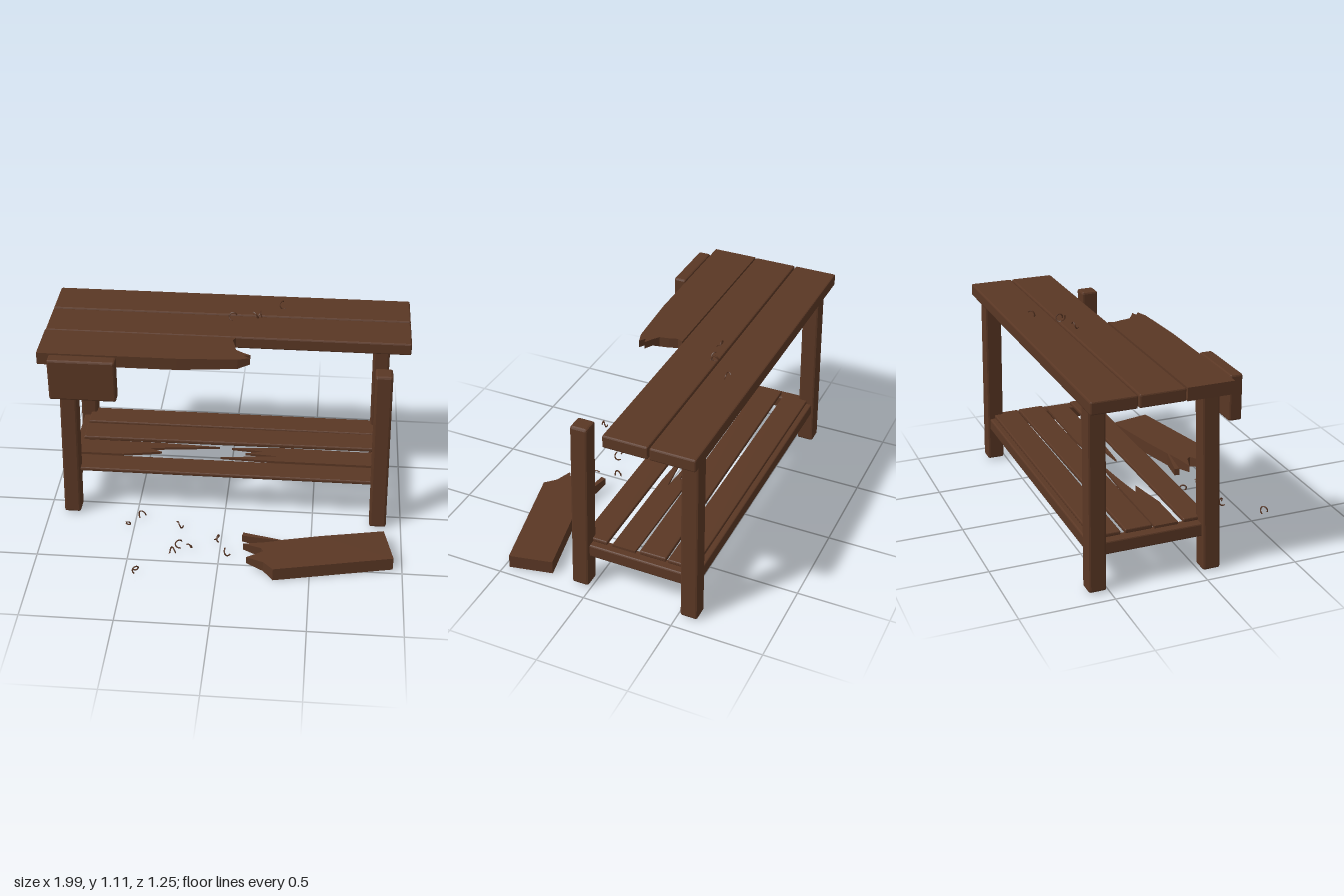
import * as THREE from 'three';
import { RoundedBoxGeometry } from 'three/addons/geometries/RoundedBoxGeometry.js';

const wood = new THREE.MeshStandardMaterial({ color: 0x5a3724 });
wood.name = 'dark brown wood';

function add(group, name, geometry) {
  const mesh = new THREE.Mesh(geometry, wood);
  mesh.name = name;
  group.add(mesh);
  return mesh;
}

// Box with chamfered edges, given by its min and max corners
function timber([x0, y0, z0], [x1, y1, z1], chamfer = 0.008) {
  let g = new RoundedBoxGeometry(x1 - x0, y1 - y0, z1 - z0, 1, chamfer);
  if (g.index) g = g.toNonIndexed();
  g.translate((x0 + x1) / 2, (y0 + y1) / 2, (z0 + z1) / 2);
  g.computeVertexNormals();
  return g;
}

// Board cut to an [x, z] outline; lift(x, z) raises the underside of the splinters
function brokenBoard(outline, y0, y1, lift = () => 0) {
  const shape = new THREE.Shape(outline.map(([x, z]) => new THREE.Vector2(x, -z)));
  const g = new THREE.ExtrudeGeometry(shape, { depth: y1 - y0, bevelEnabled: false });
  g.rotateX(-Math.PI / 2).translate(0, y0, 0);
  const p = g.attributes.position;
  for (let i = 0; i < p.count; i++) {
    if (p.getY(i) < (y0 + y1) / 2) p.setY(i, y0 + lift(p.getX(i), p.getZ(i)));
  }
  g.computeVertexNormals();
  return g;
}

// One loose turn of a thin wood curl
function curl(turns) {
  const points = [];
  for (let i = 0; i <= 14; i++) {
    const t = i / 14, a = t * turns * Math.PI * 2 - 2.2;
    points.push(new THREE.Vector3(Math.cos(a) * 0.018, Math.sin(a) * 0.018, (t - 0.5) * 0.035));
  }
  return new THREE.TubeGeometry(new THREE.CatmullRomCurve3(points), 20, 0.004, 5);
}

export function createModel() {
  const model = new THREE.Group();
  model.name = 'brokenWorkbench';

  // Table top: two whole planks and a snapped front plank
  add(model, 'backPlank', timber([-1, 0.997, -0.62], [0.992, 1.066, -0.38]));
  add(model, 'middlePlank', timber([-1, 0.997, -0.373], [0.992, 1.066, -0.132]));
  add(model, 'snappedPlank', brokenBoard([
    [-1, -0.127], [-0.25, -0.127], [0.045, -0.127], [0.03, -0.095], [0.045, -0.05],
    [0.055, 0], [0.09, 0.025], [0.135, 0.05], [0.1, 0.06], [0.135, 0.082],
    [0.07, 0.102], [-0.25, 0.12], [-1, 0.122],
  ], 0.997, 1.066, (x) => x > 0.08 ? 0.03 : x > 0 ? 0.012 : 0));

  // Vise jaw on the front edge
  add(model, 'viseJaw', timber([-0.932, 0.824, 0.128], [-0.57, 1.066, 0.198], 0.01));

  // Splayed legs
  for (const sx of [-1, 1]) {
    for (const front of [true, false]) {
      const g = timber([-0.047, 0.008, -0.048], [0.047, 0.992, 0.048], 0.012);
      const p = g.attributes.position;
      for (let i = 0; i < p.count; i++) {
        const down = 1 - p.getY(i);
        p.setX(i, p.getX(i) + sx * (0.846 + 0.024 * down));
        p.setZ(i, p.getZ(i) + (front ? 0.049 + 0.013 * down : -0.547 - 0.014 * down));
      }
      g.computeVertexNormals();
      add(model, (front ? 'front' : 'back') + (sx > 0 ? 'Left' : 'Right') + 'Leg', g);
    }
    // Side rail between the legs
    const x = sx * 0.857;
    add(model, 'sideRail', timber([x - 0.035, 0.195, -0.53], [x + 0.035, 0.267, 0.03]));
  }
  add(model, 'backRail', timber([-0.84, 0.198, -0.59], [0.84, 0.268, -0.52]));

  // Lower shelf
  add(model, 'frontShelfBoard', timber([-0.85, 0.268, -0.072], [0.855, 0.29, 0.066], 0.006));
  const tilted = add(model, 'middleShelfBoard', timber([-0.85, -0.012, -0.074], [0.85, 0.012, 0.074], 0.006));
  tilted.position.set(0, 0.281, -0.322);
  tilted.rotation.y = 0.008;
  add(model, 'backShelfBoard', timber([-0.85, 0.268, -0.56], [0.85, 0.29, -0.412], 0.006));
  add(model, 'shelfShardLeft', brokenBoard([
    [0.85, -0.1], [0.85, -0.23], [0.3, -0.235], [0.02, -0.21], [0.2, -0.19],
    [0.1, -0.165], [0.28, -0.15], [-0.04, -0.115], [0.25, -0.1],
  ], 0.267, 0.281));
  add(model, 'shelfShardRight', brokenBoard([
    [-0.85, -0.23], [-0.4, -0.23], [-0.05, -0.215], [-0.3, -0.19],
    [-0.45, -0.17], [-0.38, -0.14], [-0.6, -0.1], [-0.85, -0.1],
  ], 0.267, 0.281));

  // Snapped-off piece lying on the floor
  add(model, 'fallenPlank', brokenBoard([
    [0.9, 0.235], [0.95, 0.47], [0.305, 0.615], [0.25, 0.56], [0.155, 0.525],
    [0.245, 0.465], [0.23, 0.44], [0.13, 0.41], [0.24, 0.39], [0.33, 0.367],
    [0.12, 0.34], [0.125, 0.312], [0.34, 0.36], [0.55, 0.308],
  ], 0.004, 0.08, (x) => x < 0.2 ? 0.035 : x < 0.28 ? 0.015 : 0));

  // Wood shavings: [x, base height, z]
  const shavings = new THREE.Group();
  shavings.name = 'shavings';
  model.add(shavings);
  [
    [-0.54, 0, 0.21], [-0.47, 0, 0.12], [-0.24, 0, 0.2], [-0.02, 0, 0.3],
    [-0.23, 0, 0.37], [-0.17, 0, 0.38], [-0.26, 0, 0.43], [0.04, 0, 0.42],
    [-0.44, 0, 0.605], [0.01, 1.062, -0.33], [0.14, 1.062, -0.355],
    [0.16, 1.062, -0.365], [0.28, 1.062, -0.48],
  ].forEach(([x, y, z], i) => {
    const mesh = add(shavings, 'shaving', curl(0.65 + (i * 3 % 5) * 0.09));
    mesh.position.set(x, y + 0.023, z);
    mesh.rotation.y = i * 2.4;
  });

  return model;
}
